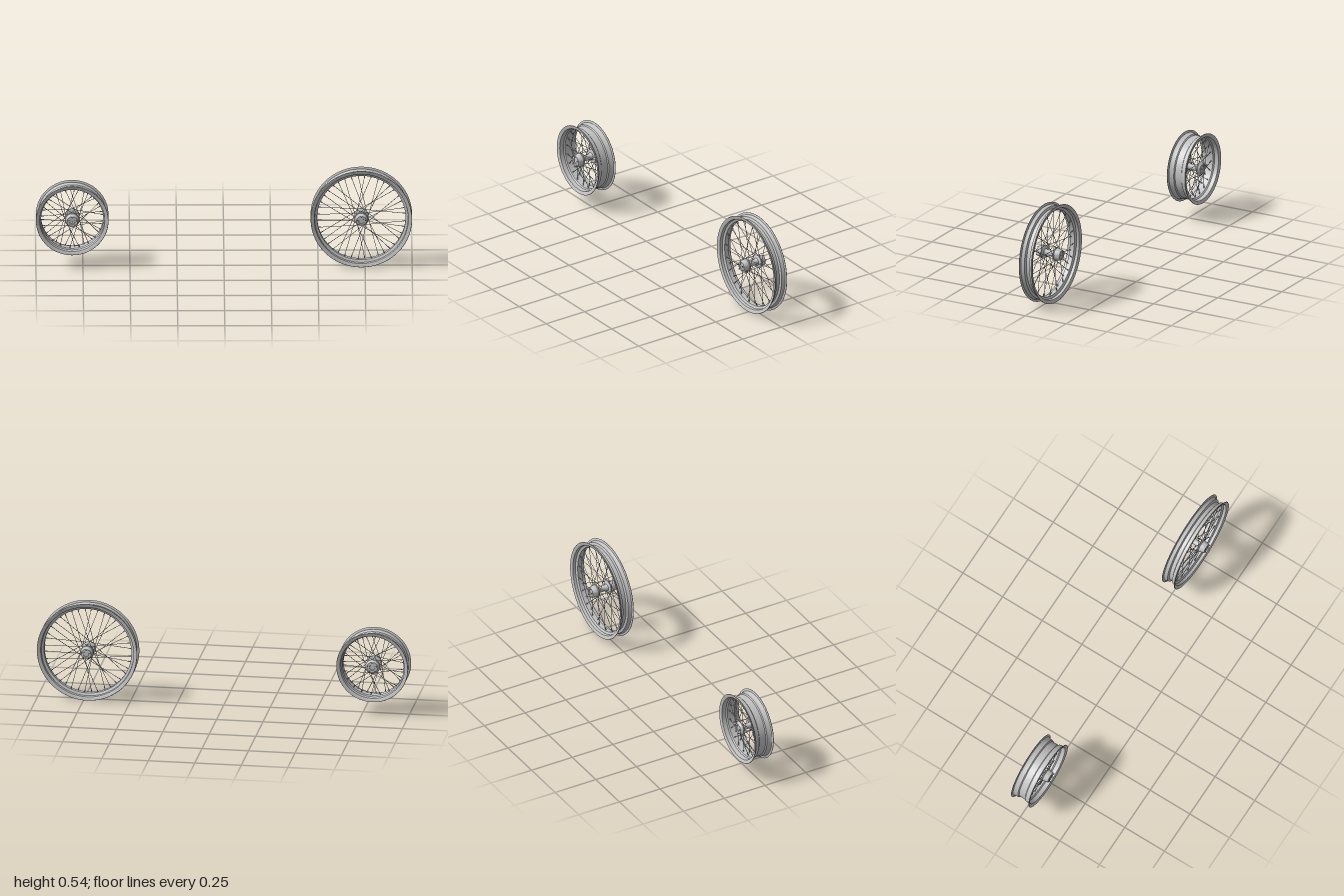
import * as THREE from 'three';
import { mergeGeometries, toCreasedNormals } from 'three/addons/utils/BufferGeometryUtils.js';

const metal = new THREE.MeshStandardMaterial({ color: 0xc4c4c4 });
metal.name = 'brushed metal';

// Solid of revolution about z from a list of [radius, z]
function turned(profile, segments) {
  const points = profile.map(([r, z]) => new THREE.Vector2(r, z));
  const geometry = new THREE.LatheGeometry(points, segments).rotateX(Math.PI / 2);
  return toCreasedNormals(geometry, 0.6);
}

// Straight rod between two points
function rod(from, to, radius, sides = 6) {
  const direction = to.clone().sub(from);
  const geometry = new THREE.CylinderGeometry(radius, radius, direction.length(), sides);
  const turn = new THREE.Quaternion().setFromUnitVectors(
    new THREE.Vector3(0, 1, 0), direction.clone().normalize());
  geometry.applyQuaternion(turn);
  const middle = from.clone().add(to).multiplyScalar(0.5);
  return geometry.translate(middle.x, middle.y, middle.z);
}

const polar = (r, angle, z) => new THREE.Vector3(r * Math.cos(angle), r * Math.sin(angle), z);

// Drop-centre rim, mirrored about its middle plane
function rimGeometry({ radius: R, halfWidth: w, well, wellHalf }) {
  const outer = [
    [well, wellHalf - 0.003], [R - 0.017, wellHalf + 0.002], [R - 0.015, w - 0.011],
    [R - 0.012, w - 0.006], [R - 0.003, w - 0.005], [R, w - 0.003],
    [R - 0.001, w - 0.0005], [R - 0.004, w], [R - 0.008, w - 0.002],
  ];
  const inner = [
    [R - 0.016, w - 0.003], [R - 0.02, w - 0.006],
    [R - 0.022, wellHalf + 0.006], [well - 0.005, wellHalf],
  ];
  const half = [...outer, ...inner];
  const mirrored = half.map(([r, z]) => [r, -z]).reverse();
  return turned([...mirrored, ...half, mirrored[0]], 96);
}

// Spool hub: barrel, two flanges, tapered ends and recessed bores
function hubGeometry({ flangeZ: f, front, back, flangeR: fr, endR }) {
  const end = z => [
    [0.016, f - 0.016], [0.02, f - 0.007], [fr - 0.002, f - 0.004], [fr, f - 0.002],
    [fr, f + 0.002], [fr - 0.003, f + 0.004], [endR + 0.001, z - 0.002], [endR, z],
    [0.015, z], [0.014, z - 0.003], [0.001, z - 0.003],
  ];
  const rear = end(back).map(([r, z]) => [r, -z]).reverse();
  return turned([...rear, ...end(front)], 40);
}

// Crossed spokes with a nipple at the rim
function spokeGeometries(spec) {
  const spokes = [], nipples = [];
  for (let i = 0; i < 40; i++) {
    const side = i % 2 ? 1 : -1;
    const lean = i % 4 < 2 ? 1 : -1;
    const angle = (i + 0.5) * Math.PI / 20;
    const start = polar(spec.flangeR - 0.004, angle + lean * 1.15, side * spec.flangeZ);
    const stop = polar(spec.well - 0.004, angle, side * spec.wellHalf * 0.5);
    const collar = stop.clone().lerp(start, 0.016 / stop.distanceTo(start));
    spokes.push(rod(start, stop, 0.0014));
    nipples.push(rod(collar, stop, 0.0026));
  }
  return [mergeGeometries(spokes), mergeGeometries(nipples)];
}

// Five bolts on each hub end
function boltGeometry({ front, back, endR }) {
  const bolts = [];
  for (const z of [front, -back]) {
    for (let i = 0; i < 5; i++) {
      const angle = Math.PI / 2 + i * Math.PI * 2 / 5;
      const r = endR - 0.004;
      bolts.push(rod(polar(r, angle, z), polar(r, angle, z + Math.sign(z) * 0.008), 0.0027, 8));
    }
  }
  return mergeGeometries(bolts);
}

function wheel(name, spec) {
  const group = new THREE.Group();
  group.name = name;
  const add = (part, geometry) => {
    const mesh = new THREE.Mesh(geometry, metal);
    mesh.name = part;
    group.add(mesh);
  };
  const [spokes, nipples] = spokeGeometries(spec);
  add('rim', rimGeometry(spec));
  add('hub', hubGeometry(spec));
  add('spokes', spokes);
  add('nipples', nipples);
  add('hubBolts', boltGeometry(spec));
  return group;
}

export function createModel() {
  const model = new THREE.Group();
  model.name = 'wheelPair';

  // Tall narrow wheel
  const tall = wheel('tallWheel', {
    radius: 0.27, halfWidth: 0.04, well: 0.24, wellHalf: 0.013,
    flangeZ: 0.036, flangeR: 0.037, front: 0.07, back: 0.07, endR: 0.027,
  });
  tall.position.set(0.73, 0.27, 0);

  // Small wide wheel
  const wide = wheel('wideWheel', {
    radius: 0.193, halfWidth: 0.057, well: 0.17, wellHalf: 0.022,
    flangeZ: 0.038, flangeR: 0.039, front: 0.071, back: 0.053, endR: 0.029,
  });
  wide.position.set(-0.807, 0.268, -0.002);

  model.add(tall, wide);
  return model;
}
